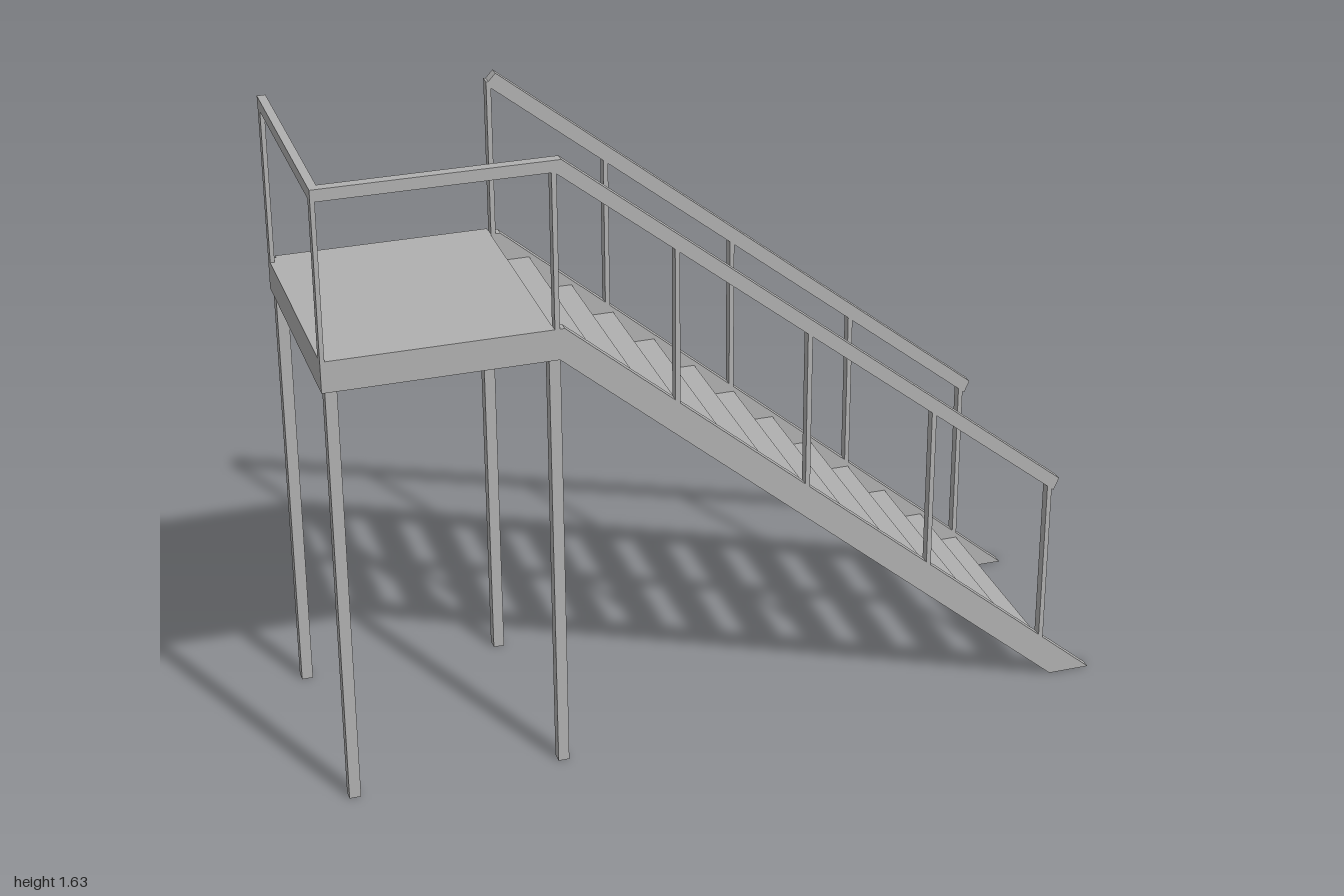
import * as THREE from 'three';

export function createModel() {
  const model = new THREE.Group();
  const grey = new THREE.MeshStandardMaterial({ color: 0xb0b0b0 });
  grey.name = 'grey steel';

  const add = (name, geometry) => {
    const mesh = new THREE.Mesh(geometry, grey);
    mesh.name = name;
    model.add(mesh);
  };

  // Box given by its limits on each axis
  const box = (name, x0, x1, y0, y1, z0, z1) => {
    const g = new THREE.BoxGeometry(x1 - x0, y1 - y0, z1 - z0);
    add(name, g.translate((x0 + x1) / 2, (y0 + y1) / 2, (z0 + z1) / 2));
  };

  // Side profile in x and y, extruded from z0 to z1
  const plate = (name, points, z0, z1) => {
    const shape = new THREE.Shape(points.map(([x, y]) => new THREE.Vector2(x, y)));
    const g = new THREE.ExtrudeGeometry(shape, { depth: z1 - z0, bevelEnabled: false });
    add(name, g.translate(0, 0, z0));
  };

  const front = [0.287, 0.313];
  const back = [-0.301, -0.274];

  // Landing deck and its end fascia
  box('deck', -0.98, -0.442, 1.19, 1.2, -0.313, 0.287);
  box('endFascia', -1, -0.979, 1.12, 1.2, -0.301, 0.287);

  // Stringers: the front one runs on along the landing
  const slope = [[0.89, 0], [1, 0], [-0.417, 1.2]];
  plate('frontStringer', [[-1, 1.2], [-1, 1.12], [-0.43, 1.12], ...slope], ...front);
  plate('backStringer', [[-0.442, 1.2], [-0.442, 1.13], [-0.43, 1.12], ...slope], ...back);

  // Handrails: the front one turns round the end of the landing
  const railSlope = [[0.869, 0.553], [0.883, 0.585], [-0.417, 1.626]];
  plate('frontHandrail', [[-1, 1.626], [-1, 1.596], [-0.434, 1.596], ...railSlope], ...front);
  plate('backHandrail', [[-0.441, 1.6], [-0.434, 1.592], ...railSlope], ...back);
  box('endHandrail', -1, -0.979, 1.596, 1.626, -0.304, 0.287);

  // Balusters on the stairs, both sides
  const stringerTop = x => Math.min(1.2, 1.2 - 0.847 * (x + 0.417));
  const railBottom = x => Math.min(1.596, 1.596 - 0.8 * (x + 0.434));
  for (const [side, z] of [['front', front], ['back', back]]) {
    for (const x of [-0.435, -0.139, 0.198, 0.531, 0.858]) {
      box(side + 'Baluster', x - 0.006, x + 0.006, stringerTop(x) - 0.01, railBottom(x) + 0.01, ...z);
    }
    // Post at the outer corner of the landing
    box(side + 'CornerPost', -1, -0.989, 1.2, 1.597, ...z);
  }

  // Legs
  box('frontLeg', -0.992, -0.963, 0, 1.12, 0.28, 0.31);
  box('frontLeg', -0.456, -0.428, 0, 1.12, 0.28, 0.31);
  box('backLeg', -0.992, -0.963, 0, 1.19, -0.302, -0.271);
  box('backLeg', -0.471, -0.443, 0, 1.19, -0.302, -0.271);

  // Treads
  for (let i = 0; i < 12; i++) {
    const x = -0.425 + i * 0.1098;
    const y = 1.12 - i * 0.093;
    box('tread', x, x + 0.081, y - 0.005, y + 0.005, -0.274, 0.287);
  }

  return model;
}
